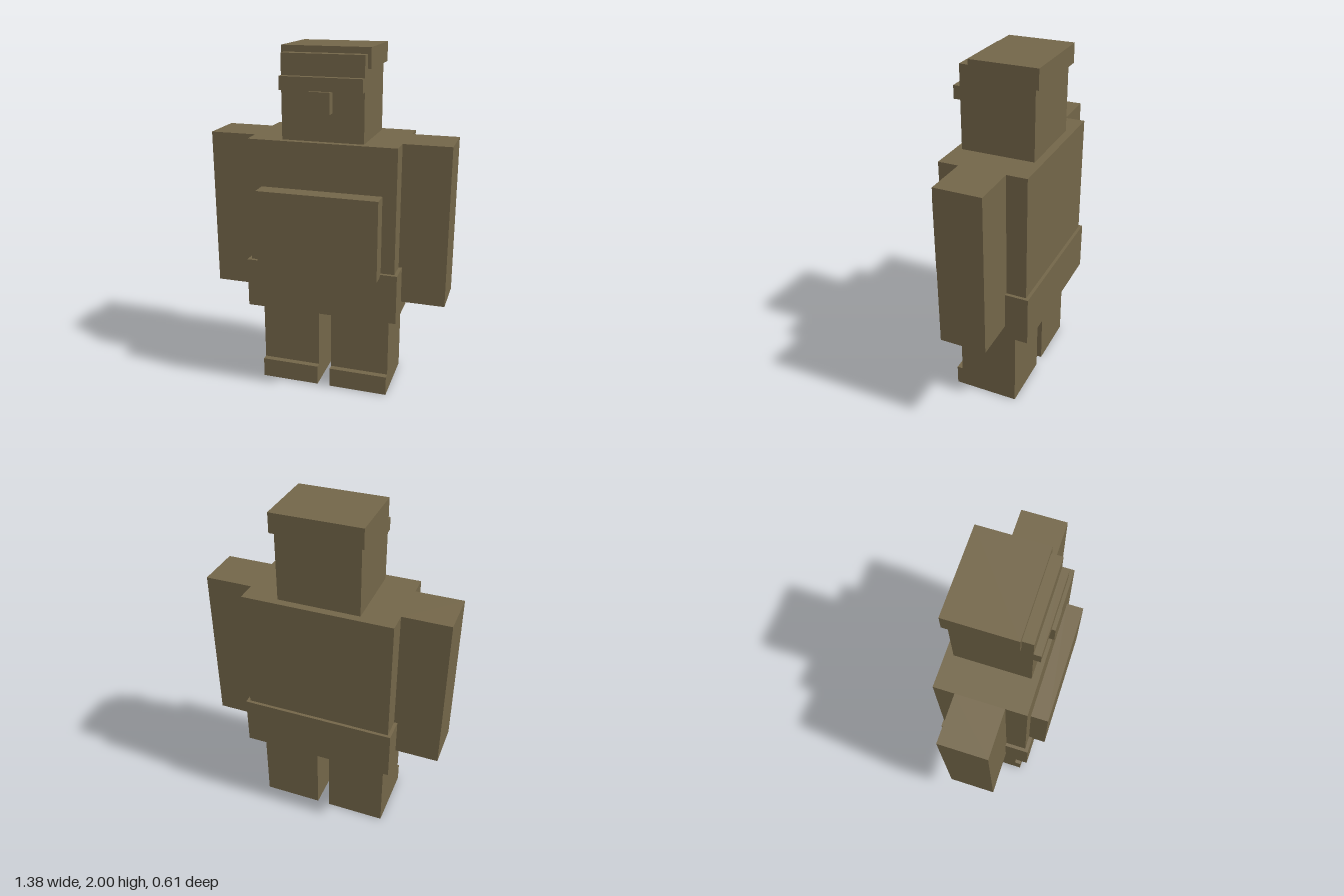
import * as THREE from 'three';

export function createModel() {
  const model = new THREE.Group();
  model.name = 'blockFigure';
  const clay = new THREE.MeshStandardMaterial({ color: 0x736649 });
  clay.name = 'olive brown';

  // Box given by its lower and upper limits on each axis
  function block(name, [x0, x1], [y0, y1], [z0, z1], parent = model) {
    const mesh = new THREE.Mesh(new THREE.BoxGeometry(x1 - x0, y1 - y0, z1 - z0), clay);
    mesh.position.set((x0 + x1) / 2, (y0 + y1) / 2, (z0 + z1) / 2);
    mesh.name = name;
    parent.add(mesh);
  }

  // Box centred on x = 0
  const centred = (name, half, y, z, parent) => block(name, [-half, half], y, z, parent);

  // Body
  centred('torso', 0.423, [0.79, 1.5], [-0.289, 0.21]);
  centred('hips', 0.442, [0.503, 0.79], [-0.307, 0.23]);
  centred('chestPack', 0.346, [0.773, 1.233], [0.21, 0.306]);

  // Head with cap, brow and nose
  const head = new THREE.Group();
  head.name = 'head';
  model.add(head);
  centred('skull', 0.231, [1.5, 1.965], [-0.245, 0.172], head);
  centred('cap', 0.249, [1.89, 2.0], [-0.268, 0.113], head);
  centred('brow', 0.231, [1.775, 1.848], [0.172, 0.21], head);
  centred('nose', 0.057, [1.658, 1.775], [0.172, 0.23], head);

  // Arms, legs and toes, mirrored left and right
  for (const [side, s] of [['left', 1], ['right', -1]]) {
    const span = (inner, outer) => (s > 0 ? [inner, outer] : [-outer, -inner]);
    block(side + 'Arm', span(0.423, 0.692), [0.58, 1.5], [-0.173, 0.094]);
    block(side + 'Leg', span(0.038, 0.384), [0, 0.503], [-0.208, 0.138]);
    block(side + 'Toe', span(0.038, 0.384), [0, 0.117], [0.138, 0.173]);
  }
  return model;
}
